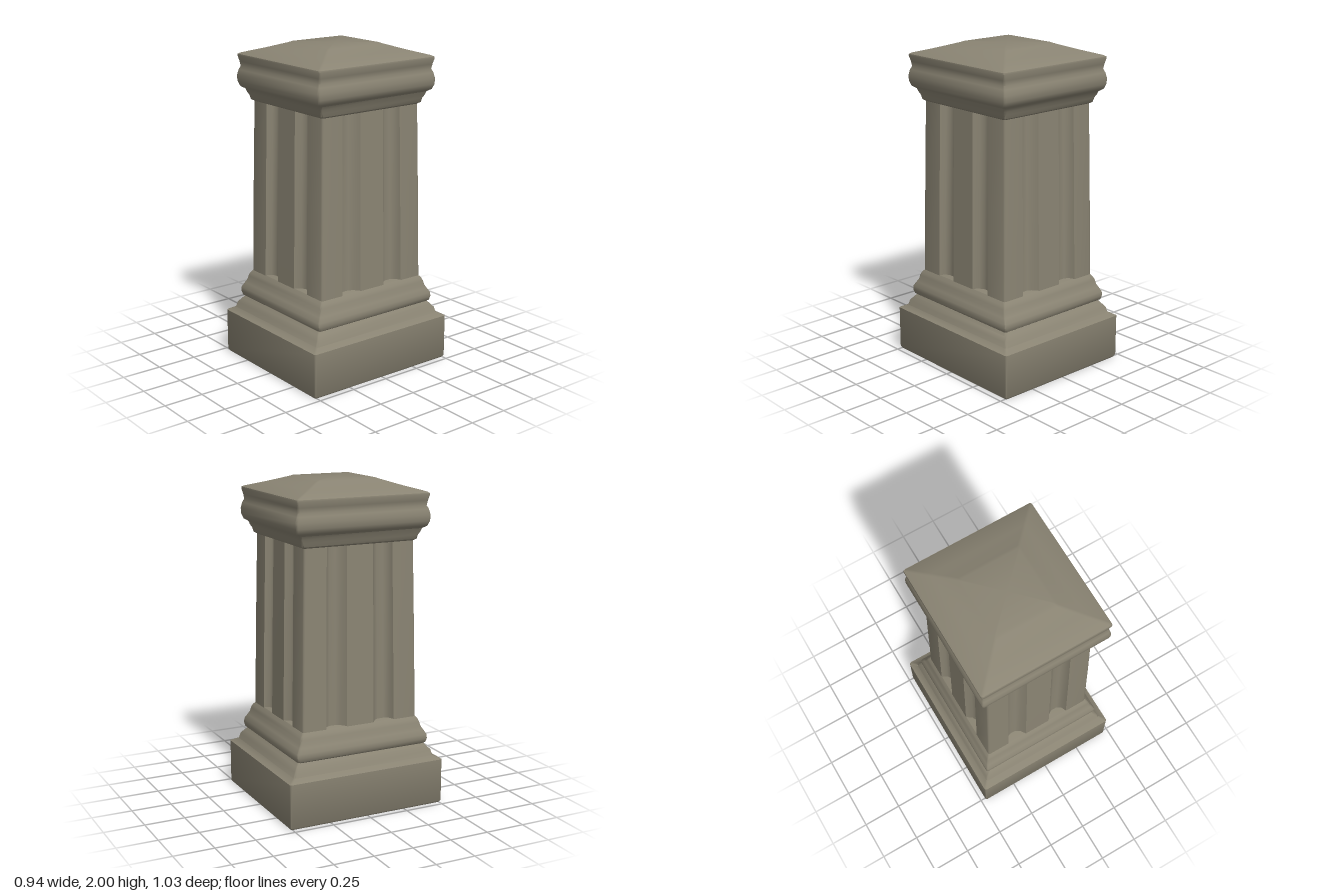
import * as THREE from 'three';
import { toCreasedNormals } from 'three/addons/utils/BufferGeometryUtils.js';

// Groove outline across one side of the shaft: [position, depth]
const flute = [[-0.215, 0], [-0.2, 0.035], [-0.175, 0.05], [-0.135, 0.05], [-0.11, 0.035], [-0.085, 0]];
const flutes = [...flute, ...flute.map(([u, d]) => [-u, d]).reverse()];

// Rectangular cross-section with softened corners, counter-clockwise from above
function outline(hx, hz, y, grooves) {
  const r = 0.012, pts = [];
  for (let s = 0; s < 4; s++) {
    const half = s % 2 ? hx : hz;
    const out = s % 2 ? hz : hx;
    const row = [[-half + r, 0]];
    for (const [u, d] of grooves) row.push([u * half / 0.36, d]);
    row.push([half - r, 0], [half - 0.3 * r, 0.3 * r]);
    for (const [u, d] of row) {
      const o = out - d;
      pts.push([[o, y, -u], [-u, y, -o], [-o, y, u], [u, y, o]][s]);
    }
  }
  return pts;
}

// Skin a stack of sections given as [half width, height, half depth]
function loft(profile, grooves = []) {
  const rings = profile.map(([hx, y, hz]) => outline(hx, hz, y, grooves));
  const n = rings[0].length, pos = [];
  const tri = (...corners) => corners.forEach((c) => pos.push(...c));
  for (let k = 0; k < rings.length - 1; k++) {
    for (let i = 0; i < n; i++) {
      const j = (i + 1) % n, a = rings[k], b = rings[k + 1];
      tri(a[i], a[j], b[j]);
      tri(a[i], b[j], b[i]);
    }
  }
  const low = rings[0], high = rings[rings.length - 1];
  for (let i = 0; i < n; i++) {
    const j = (i + 1) % n;
    tri([0, low[0][1], 0], low[j], low[i]);
    tri([0, high[0][1], 0], high[i], high[j]);
  }
  const geo = new THREE.BufferGeometry();
  geo.setAttribute('position', new THREE.Float32BufferAttribute(pos, 3));
  return toCreasedNormals(geo, 0.85);
}

export function createModel() {
  const group = new THREE.Group();
  const stone = new THREE.MeshStandardMaterial({ color: 0x8a8473 });
  stone.name = 'stone';
  const add = (name, profile, grooves) => {
    const mesh = new THREE.Mesh(loft(profile, grooves), stone);
    mesh.name = name;
    group.add(mesh);
  };

  // Plinth with a stepped top
  add('plinth', [
    [0.462, 0, 0.507], [0.47, 0.012, 0.515], [0.47, 0.28, 0.515], [0.432, 0.302, 0.472],
    [0.425, 0.335, 0.462], [0.405, 0.36, 0.442], [0.39, 0.38, 0.425],
  ]);

  // Rounded moulding at the foot of the shaft
  add('baseMoulding', [
    [0.39, 0.375, 0.42], [0.405, 0.385, 0.436], [0.412, 0.41, 0.442], [0.41, 0.435, 0.44],
    [0.397, 0.465, 0.422], [0.388, 0.485, 0.41], [0.383, 0.51, 0.404], [0.375, 0.53, 0.396],
    [0.36, 0.55, 0.38],
  ]);

  // Tapered shaft with two flutes on each side
  add('shaft', [[0.362, 0.54, 0.382], [0.353, 1.1, 0.372], [0.343, 1.65, 0.36]], flutes);

  // Capital: neck, round band and flared rim
  add('capital', [
    [0.343, 1.635, 0.36], [0.357, 1.645, 0.378], [0.362, 1.67, 0.384], [0.372, 1.69, 0.395],
    [0.378, 1.71, 0.402], [0.4, 1.725, 0.425], [0.411, 1.755, 0.436], [0.412, 1.79, 0.438],
    [0.405, 1.825, 0.43], [0.396, 1.845, 0.42], [0.402, 1.875, 0.424], [0.412, 1.91, 0.432],
    [0.41, 1.92, 0.43],
  ]);

  // Shallow sloping top
  add('top', [
    [0.41, 1.918, 0.43], [0.4, 1.926, 0.42], [0.3, 1.957, 0.315], [0.2, 1.992, 0.21], [0.182, 2, 0.19],
  ]);

  return group;
}
